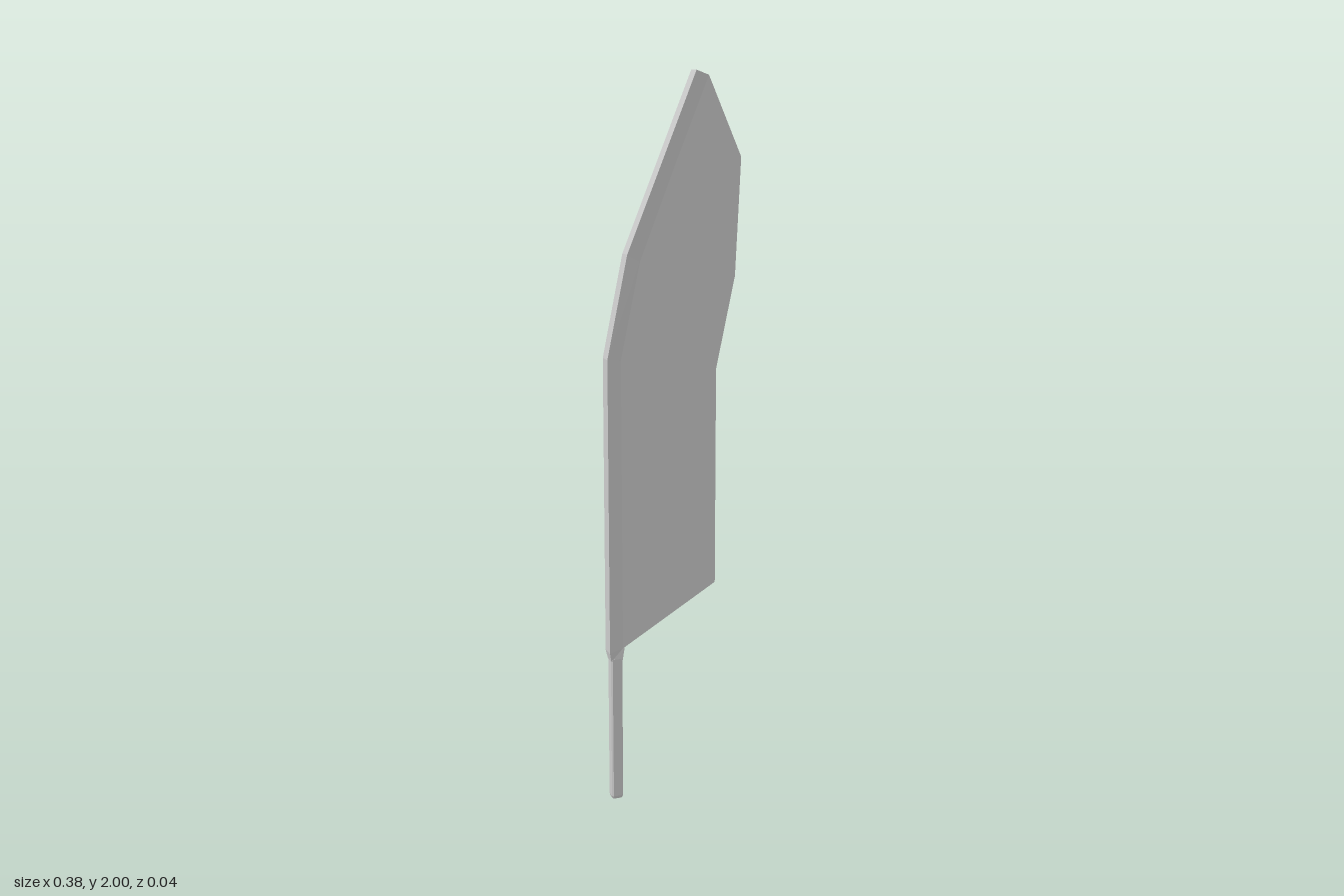
import * as THREE from 'three';

// Skins a stack of closed rings (bottom to top) and caps both ends.
function loft(rings) {
  const n = rings[0].length;
  const pos = [];
  const tri = (a, b, c) => pos.push(...a, ...b, ...c);
  for (let i = 0; i < rings.length - 1; i++) {
    for (let j = 0; j < n; j++) {
      const k = (j + 1) % n;
      tri(rings[i][j], rings[i][k], rings[i + 1][k]);
      tri(rings[i][j], rings[i + 1][k], rings[i + 1][j]);
    }
  }
  const bottom = rings[0], top = rings[rings.length - 1];
  for (let j = 1; j < n - 1; j++) {
    tri(bottom[0], bottom[j + 1], bottom[j]);
    tri(top[0], top[j], top[j + 1]);
  }
  const g = new THREE.BufferGeometry();
  g.setAttribute('position', new THREE.Float32BufferAttribute(pos, 3));
  g.computeVertexNormals();
  return g;
}

export function createModel() {
  const model = new THREE.Group();
  model.name = 'bladedTool';
  const material = new THREE.MeshStandardMaterial({ color: 0xcccccc, flatShading: true });
  const add = (name, geometry) => {
    const mesh = new THREE.Mesh(geometry, material);
    mesh.name = name;
    model.add(mesh);
  };

  // Blade rows: spine, inner spine line and cutting edge, each as [x, y]
  const rows = [
    [[-0.185, 0.41], [-0.168, 0.41], [-0.152, 0.41]],
    [[-0.19, 0.435], [-0.15, 0.445], [-0.145, 0.447]],
    [[-0.19, 0.61], [-0.15, 0.61], [0.122, 0.605]],
    [[-0.19, 1.255], [-0.15, 1.25], [0.122, 1.21]],
    [[-0.133, 1.53], [-0.095, 1.51], [0.175, 1.46]],
    [[-0.02, 1.805], [0.012, 1.78], [0.19, 1.775]],
    [[0.06, 2.0], [0.097, 1.987], [0.098, 1.985]],
  ];
  // Thick spine, thinner flat plate; the lowest row matches the handle
  const blade = rows.map((row, i) => {
    const half = i === 0 ? [0.015, 0.015, 0.015] : [0.019, 0.0125, 0.0125];
    const front = row.map(([x, y], k) => [x, y, half[k]]);
    const back = row.map(([x, y], k) => [x, y, -half[k]]).reverse();
    return [...front, ...back];
  });
  add('blade', loft(blade));

  // Handle: slim bar with chamfered corners and a chamfered foot
  const bar = (y, s) => {
    const w = 0.0165 * s, d = 0.015 * s, c = 0.004;
    return [
      [-w + c, d], [w - c, d], [w, d - c], [w, -d + c],
      [w - c, -d], [-w + c, -d], [-w, -d + c], [-w, d - c],
    ].map(([x, z]) => [x - 0.1685, y, z]);
  };
  add('handle', loft([bar(0, 0.85), bar(0.008, 1), bar(0.415, 1)]));

  return model;
}
